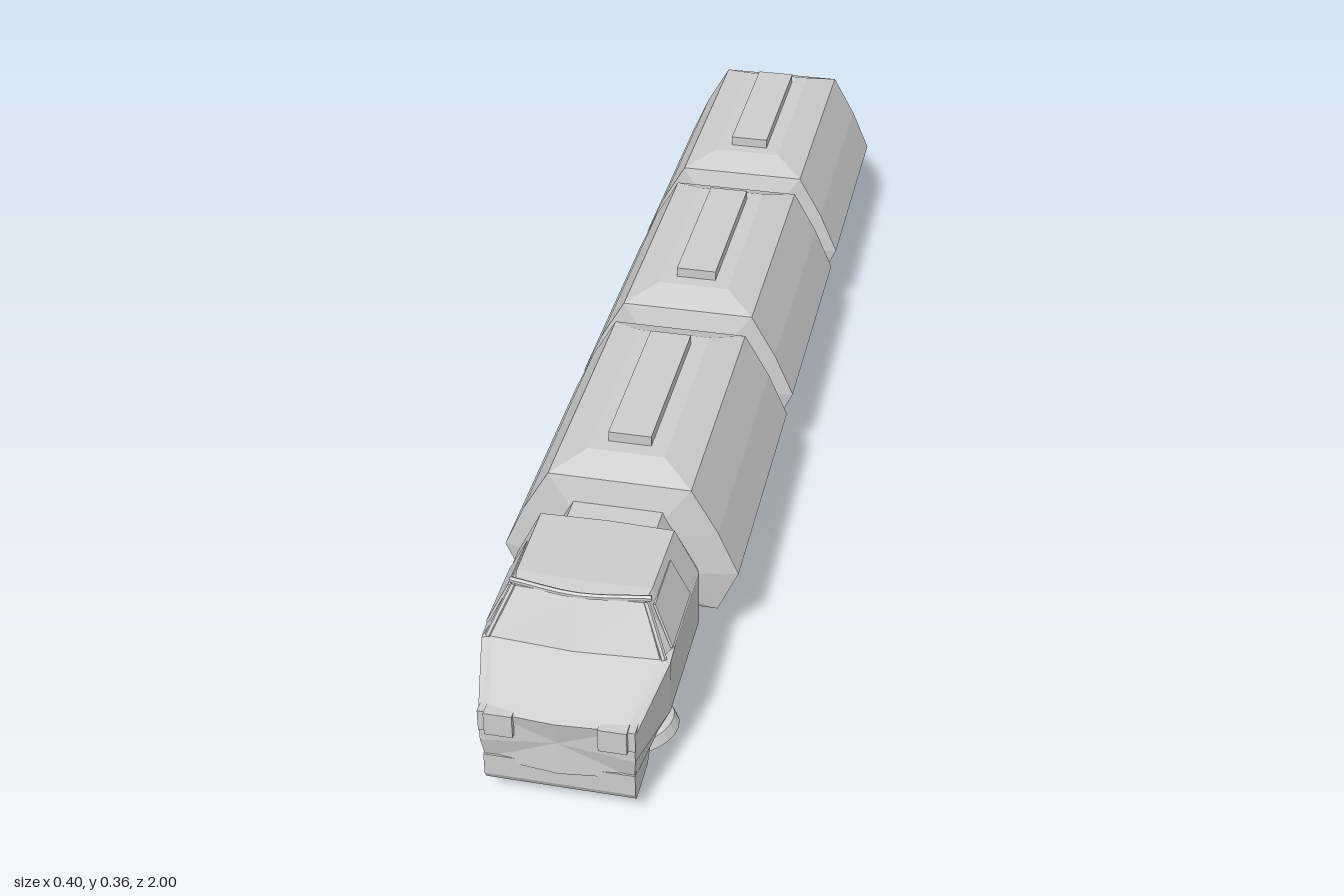
import * as THREE from 'three';

const grey = new THREE.MeshStandardMaterial({ color: 0xcccccc, flatShading: true, side: THREE.DoubleSide });

function add(parent, name, geometry, x = 0, y = 0, z = 0) {
  const mesh = new THREE.Mesh(geometry, grey);
  mesh.name = name;
  mesh.position.set(x, y, z);
  parent.add(mesh);
  return mesh;
}

// Closed loop from its +x half (listed bottom to top), mirrored to -x
function mirrored(half) {
  const other = half.filter(p => p[0] > 0).reverse().map(([x, y, z]) => [-x, y, z]);
  return [...half, ...other];
}

// Skin through matching loops ordered from low z to high z, capped at both ends
function loft(loops) {
  const n = loops[0].length;
  const pos = loops.flat(2);
  const idx = [];
  for (let i = 0; i < loops.length - 1; i++) {
    for (let j = 0; j < n; j++) {
      const a = i * n + j, b = i * n + (j + 1) % n;
      idx.push(a, b, b + n, a, b + n, a + n);
    }
  }
  [0, loops.length - 1].forEach(k => {
    const c = pos.length / 3;
    for (let m = 0; m < 3; m++) pos.push(loops[k].reduce((s, p) => s + p[m], 0) / n);
    for (let j = 0; j < n; j++) {
      const a = k * n + j, b = k * n + (j + 1) % n;
      if (k) idx.push(c, a, b); else idx.push(c, b, a);
    }
  });
  const g = new THREE.BufferGeometry();
  g.setAttribute('position', new THREE.Float32BufferAttribute(pos, 3));
  g.setIndex(idx);
  g.computeVertexNormals();
  return g;
}

const atZ = (half, z) => mirrored(half.map(([x, y]) => [x, y, z]));

// Side profile of [z, y] points extruded across x
function sideExtrude(points, width) {
  const shape = new THREE.Shape(points.map(p => new THREE.Vector2(...p)));
  return new THREE.ExtrudeGeometry(shape, { depth: width, bevelEnabled: false })
    .rotateY(-Math.PI / 2).translate(width / 2, 0, 0);
}

// Splayed dish-shaped wheels, one each side
function addWheels(parent, z) {
  const profile = [[0, 0.014], [0.018, 0.014], [0.022, 0.004], [0.03, 0.01], [0.04, 0], [0.054, 0],
    [0.052, 0.02], [0.036, 0.028], [0.022, 0.034], [0.022, 0.05], [0, 0.05]];
  const geometry = new THREE.LatheGeometry(profile.map(p => new THREE.Vector2(...p)), 20);
  for (const side of [1, -1]) {
    add(parent, 'wheel', geometry, side * 0.099, 0.02, z).rotation.z = side * 0.325;
  }
}

function createCar() {
  const car = new THREE.Group();
  car.name = 'tankCar';
  const full = [[0.165, 0.088], [0.2, 0.168], [0.165, 0.248], [0.12, 0.327]];
  const end = [[0.105, 0.112], [0.135, 0.17], [0.11, 0.225], [0.08, 0.275]];
  add(car, 'body', loft([atZ(end, -0.252), atZ(full, -0.237), atZ(full, 0.237), atZ(end, 0.252)]));

  // Raised roof with sloping edges
  const rect = (w, l, y) => [[w, y, l], [w, y, -l], [-w, y, -l], [-w, y, l]];
  add(car, 'roof', loft([rect(0.12, 0.237, 0.327), rect(0.065, 0.185, 0.349)]));
  add(car, 'roofHatch', new THREE.BoxGeometry(0.073, 0.03, 0.317), 0, 0.352, 0);

  // Undercarriage with recesses above the wheels
  const half = [[0.235, 0.092], [0.23, 0.055], [0.205, 0.042], [0.17, 0.042], [0.14, 0.066],
    [0.045, 0.066], [0.03, 0.052]];
  const under = [...half, ...half.map(([z, y]) => [-z, y]).reverse()];
  add(car, 'undercarriage', sideExtrude(under, 0.24));
  for (const s of [1, -1]) addWheels(car, 0.007 + s * 0.09);
  return car;
}

function createCab() {
  const cab = new THREE.Group();
  cab.name = 'cab';

  // Sections: z, bottom width, side width, belt height, top width, top height, bulge at the middle
  const sections = [
    [0.635, 0.12, 0.145, 0.225, 0.1, 0.292, 0],
    [0.65, 0.13, 0.15, 0.228, 0.11, 0.308, 0],
    [0.8, 0.13, 0.15, 0.228, 0.108, 0.31, 0.008],
    [0.83, 0.13, 0.15, 0.228, 0.102, 0.305, 0.01],
    [0.866, 0.13, 0.15, 0.222, 0.134, 0.227, 0.012],
    [0.987, 0.118, 0.122, 0.176, 0.104, 0.184, 0.01],
  ].map(([z, wb, w, yb, wt, yt, bulge], i, all) => {
    const nose = i === all.length - 1;
    return mirrored([
      [0, 0.08, z + (nose ? 0.003 : 0)], [wb, 0.08, z - (nose ? 0.01 : 0)],
      [w, 0.125, z], [w, yb, z], [wt, yt, z], [0, yt + 0.003, z + bulge],
    ]);
  });
  add(cab, 'cabBody', loft(sections));

  // Brow above the windscreen
  const brow = new THREE.CatmullRomCurve3([[-0.112, 0.822], [0, 0.838], [0.112, 0.822]]
    .map(([x, z]) => new THREE.Vector3(x, 0.309, z)));
  add(cab, 'windscreenBrow', new THREE.TubeGeometry(brow, 8, 0.005, 6));

  for (const s of [1, -1]) {
    // Windscreen pillar
    const pillar = new THREE.LineCurve3(
      new THREE.Vector3(s * 0.14, 0.226, 0.864), new THREE.Vector3(s * 0.105, 0.306, 0.828));
    add(cab, 'windscreenPillar', new THREE.TubeGeometry(pillar, 1, 0.005, 6));

    // Side window lying on the sloping cab side
    const glass = new THREE.Shape([[0.71, 0.006], [0.842, 0.006], [0.82, 0.076], [0.71, 0.076]]
      .map(p => new THREE.Vector2(...p)));
    const pane = new THREE.ExtrudeGeometry(glass, { depth: 0.004, bevelEnabled: false })
      .rotateY(-Math.PI / 2).translate(0.002, 0, 0);
    add(cab, 'sideWindow', pane, s * 0.15, 0.228, 0).rotation.z = s * 0.475;

    // Headlight wrapping the nose corner
    add(cab, 'headlight', new THREE.BoxGeometry(0.045, 0.042, 0.03), s * 0.089, 0.167, 0.981);
    add(cab, 'headlightSide', new THREE.BoxGeometry(0.012, 0.038, 0.03), s * 0.117, 0.166, 0.974);
  }

  const chassis = [[0.645, 0.09], [0.65, 0.048], [0.665, 0.037], [0.71, 0.037], [0.74, 0.066],
    [0.87, 0.066], [0.9, 0.037], [0.975, 0.037], [0.982, 0.05], [0.982, 0.09]];
  add(cab, 'chassis', sideExtrude(chassis, 0.24));
  addWheels(cab, 0.806);
  return cab;
}

export function createModel() {
  const model = new THREE.Group();
  model.name = 'roadTrain';
  model.add(createCab());

  // Cars, each with a coupling ahead of it
  const coupling = [[0.09, 0.115], [0.11, 0.17], [0.105, 0.23], [0.075, 0.285]];
  for (let i = 0; i < 3; i++) {
    const z = 0.33 - i * 0.5385;
    const car = createCar();
    car.position.z = z;
    model.add(car);
    add(model, 'coupling', loft([atZ(coupling, z + 0.235), atZ(coupling, z + 0.315)]));
  }
  return model;
}
